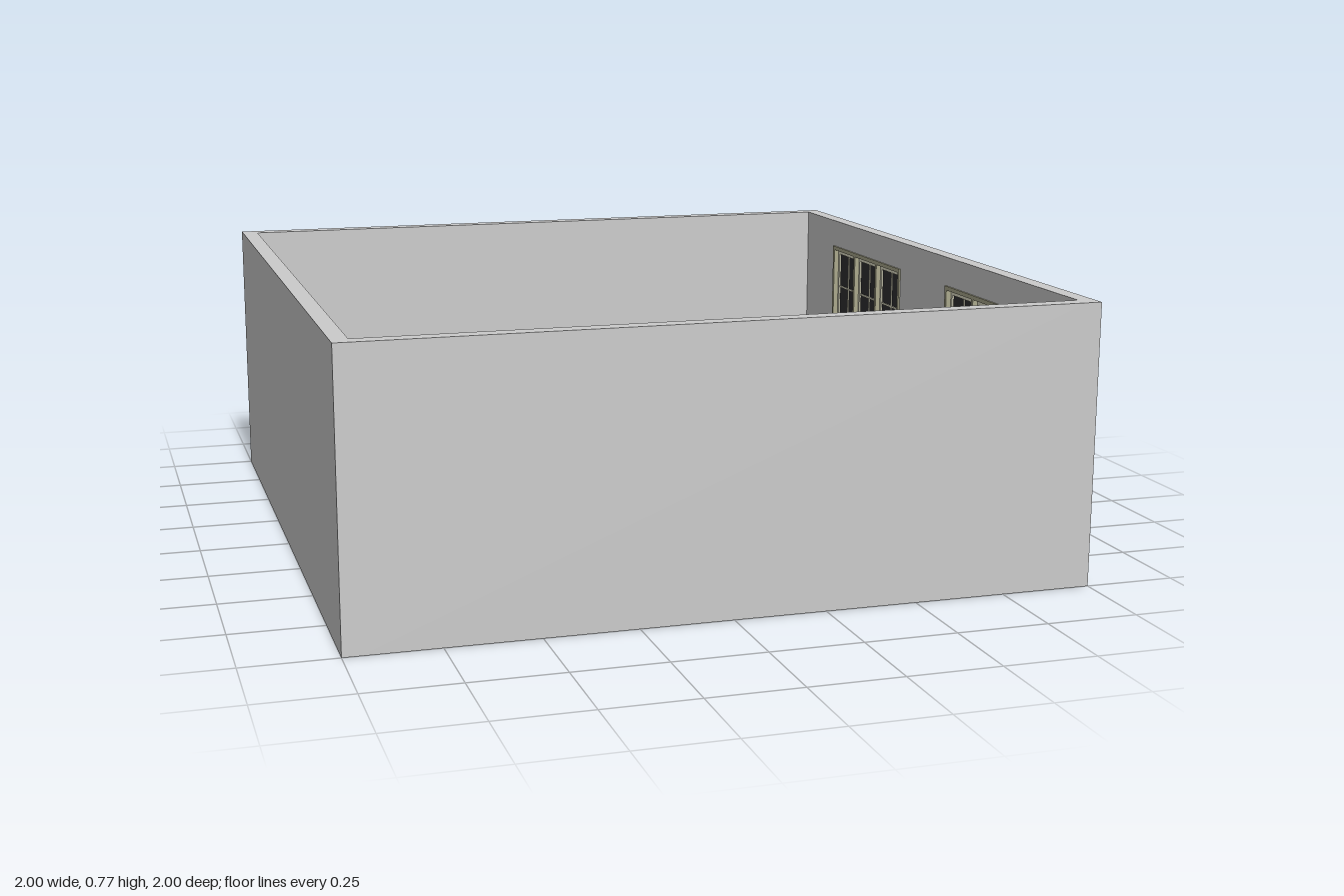
import * as THREE from 'three';

const H = 0.77, T = 0.045, FLOOR = 0.065;
const WIN = { w: 0.545, y0: 0.18, y1: 0.685, z: 0.4385 };

const wallMat = new THREE.MeshStandardMaterial({ color: 0xcccccc });
const frameMat = new THREE.MeshStandardMaterial({ color: 0xaaa88c });
const sashMat = new THREE.MeshStandardMaterial({ color: 0xdedcc4 });
const glassMat = new THREE.MeshStandardMaterial({ color: 0x303032 });

// Box given by its min and max corners
function box(parent, name, mat, [x0, y0, z0], [x1, y1, z1]) {
  const m = new THREE.Mesh(new THREE.BoxGeometry(x1 - x0, y1 - y0, z1 - z0), mat);
  m.position.set((x0 + x1) / 2, (y0 + y1) / 2, (z0 + z1) / 2);
  m.name = name;
  parent.add(m);
}

function rectPoints(x0, y0, x1, y1) {
  return [[x0, y0], [x1, y0], [x1, y1], [x0, y1]].map(p => new THREE.Vector2(...p));
}

// Side wall with two window openings
function windowWall() {
  const shape = new THREE.Shape(rectPoints(-1, 0, 1, H));
  for (const s of [-1, 1]) {
    const c = s * WIN.z;
    shape.holes.push(new THREE.Path(rectPoints(c - WIN.w / 2, WIN.y0, c + WIN.w / 2, WIN.y1)));
  }
  const geo = new THREE.ExtrudeGeometry(shape, { depth: T, bevelEnabled: false });
  geo.rotateY(Math.PI / 2).translate(1 - T, 0, 0);
  const m = new THREE.Mesh(geo, wallMat);
  m.name = 'windowWall';
  return m;
}

// One sash: rails, stiles, a pane of glass and a 2 x 2 grid of glazing bars
function sash(name, xIn, xOut, z0, z1, y0, y1, bottom, top) {
  const g = new THREE.Group();
  g.name = name;
  const st = 0.010, bar = 0.003, xm = (xIn + xOut) / 2;
  box(g, 'bottomRail', sashMat, [xIn, y0, z0], [xOut, y0 + bottom, z1]);
  box(g, 'topRail', sashMat, [xIn, y1 - top, z0], [xOut, y1, z1]);
  box(g, 'stile', sashMat, [xIn, y0 + bottom, z0], [xOut, y1 - top, z0 + st]);
  box(g, 'stile', sashMat, [xIn, y0 + bottom, z1 - st], [xOut, y1 - top, z1]);
  box(g, 'glass', glassMat, [xm - 0.001, y0 + bottom, z0 + st], [xm + 0.001, y1 - top, z1 - st]);
  const zc = (z0 + z1) / 2, yc = (y0 + bottom + y1 - top) / 2;
  box(g, 'verticalBar', sashMat, [xm - 0.004, y0 + bottom, zc - bar], [xm + 0.004, y1 - top, zc + bar]);
  box(g, 'horizontalBar', sashMat, [xm - 0.0035, yc - bar, z0 + st], [xm + 0.0035, yc + bar, z1 - st]);
  return g;
}

// Triple window: frame lining the opening, two mullions, three pairs of sashes
function tripleWindow() {
  const g = new THREE.Group();
  g.name = 'window';
  const hw = WIN.w / 2, f = 0.012, x0 = 0.95, x1 = 0.998;
  box(g, 'sill', frameMat, [x0, WIN.y0, -hw], [x1, WIN.y0 + f, hw]);
  box(g, 'head', frameMat, [x0, WIN.y1 - f, -hw], [x1, WIN.y1, hw]);
  for (const s of [-1, 1]) {
    const a = s * hw, b = s * (hw - f);
    box(g, 'jamb', frameMat, [x0, WIN.y0 + f, Math.min(a, b)], [x1, WIN.y1 - f, Math.max(a, b)]);
  }
  const pitch = 0.177, half = 0.0825, mull = 0.006;
  for (const s of [-1, 1]) {
    const c = s * pitch / 2;
    box(g, 'mullion', frameMat, [x0, WIN.y0 + f, c - mull], [0.982, WIN.y1 - f, c + mull]);
  }
  const yb = WIN.y0 + f, yt = WIN.y1 - f, ym = 0.433;
  for (let i = -1; i <= 1; i++) {
    const z0 = i * pitch - half, z1 = i * pitch + half;
    g.add(sash('lowerSash', 0.953, 0.965, z0, z1, yb, ym + 0.006, 0.014, 0.012));
    g.add(sash('upperSash', 0.965, 0.977, z0, z1, ym - 0.006, yt, 0.012, 0.014));
  }
  return g;
}

export function createModel() {
  const room = new THREE.Group();
  room.name = 'room';
  const i = 1 - T;

  // Floor and plain walls
  box(room, 'floor', wallMat, [-i, 0, -i], [i, FLOOR, i]);
  box(room, 'plainSideWall', wallMat, [-1, 0, -1], [-i, H, 1]);
  box(room, 'frontWall', wallMat, [-i, 0, i], [i, H, 1]);
  box(room, 'backWall', wallMat, [-i, 0, -1], [i, H, -i]);

  // Wall with two windows
  room.add(windowWall());
  for (const s of [-1, 1]) {
    const w = tripleWindow();
    w.position.z = s * WIN.z;
    room.add(w);
  }
  return room;
}
